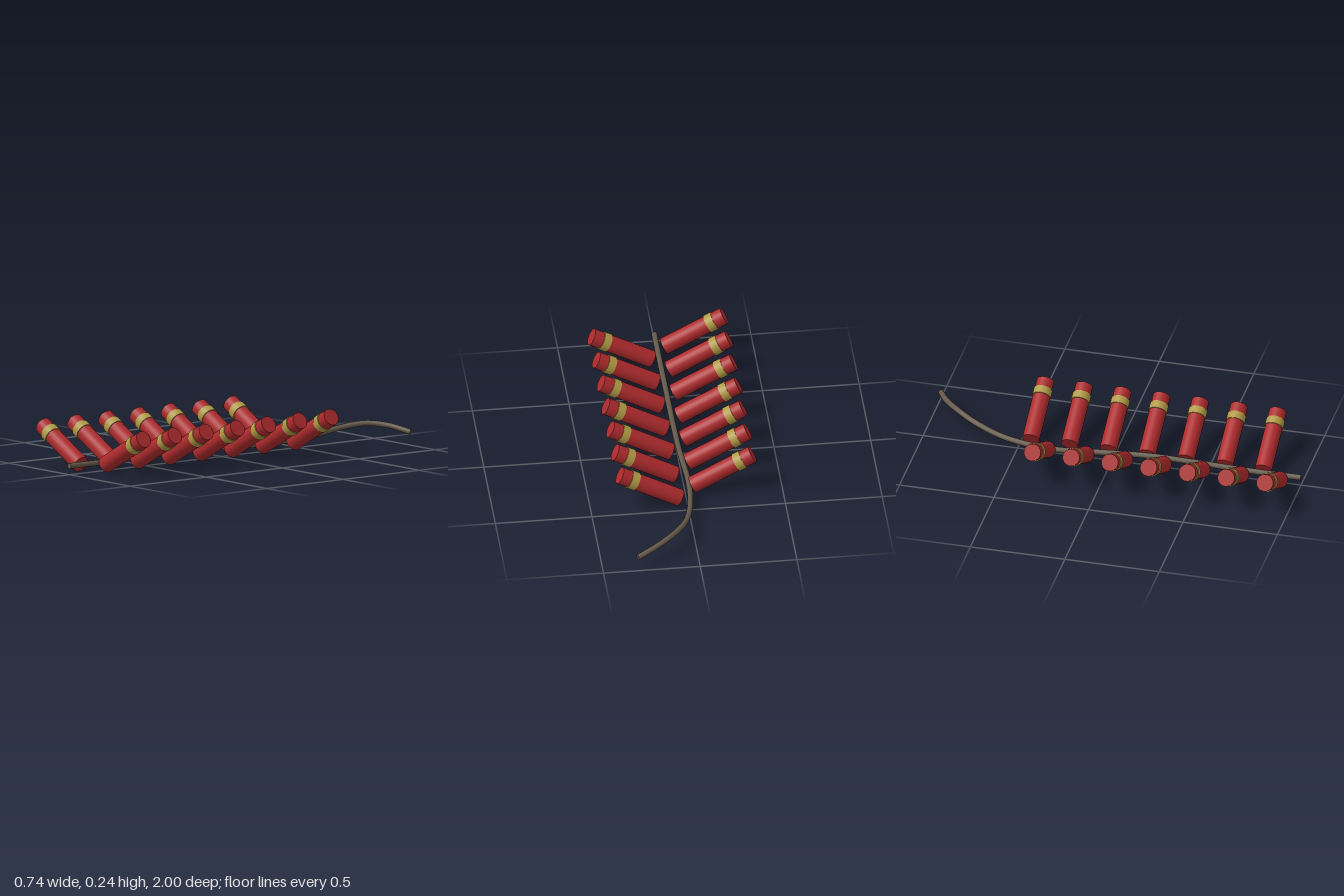
import * as THREE from 'three';

export function createModel() {
  const group = new THREE.Group();
  const mat = (name, color) => {
    const m = new THREE.MeshStandardMaterial({ color });
    m.name = name;
    return m;
  };
  const red = mat('red paper', 0xac2a2c);
  const gold = mat('gold band', 0xb09a45);
  const brown = mat('fuse brown', 0x65594a);
  const add = (parent, name, geometry, material) => {
    const mesh = new THREE.Mesh(geometry, material);
    mesh.name = name;
    parent.add(mesh);
    return mesh;
  };

  // Paper tubes, staggered in two rows and tilted up and away from the fuse
  const tubeGeo = new THREE.CylinderGeometry(0.0445, 0.0445, 0.352, 24);
  const bandGeo = new THREE.CylinderGeometry(0.0485, 0.0485, 0.042, 24);
  const tilt = THREE.MathUtils.degToRad(61.8);
  for (const side of [1, -1]) {
    for (let i = 0; i < 7; i++) {
      const cracker = new THREE.Group();
      cracker.name = side > 0 ? 'leftCracker' : 'rightCracker';
      add(cracker, 'paperTube', tubeGeo, red);
      add(cracker, 'band', bandGeo, gold).position.y = 0.1;
      cracker.rotation.z = -side * tilt;
      cracker.position.set(side * 0.194, 0.123, (side > 0 ? 0.79 : 0.895) - i * 0.205);
      group.add(cracker);
    }
  }

  // Fuse cord, running between the rows and curling off at the back
  const path = new THREE.CatmullRomCurve3([
    [0, 0.046, 1], [0, 0.046, 0.75], [0, 0.054, 0.45], [0, 0.057, 0.2],
    [-0.008, 0.045, -0.06], [-0.022, 0.036, -0.28], [-0.015, 0.04, -0.44],
    [0.01, 0.057, -0.6], [0.055, 0.09, -0.745], [0.12, 0.108, -0.85],
    [0.205, 0.1, -0.925], [0.32, 0.073, -0.985],
  ].map((p) => new THREE.Vector3(...p)));
  const radius = 0.015;
  add(group, 'fuse', new THREE.TubeGeometry(path, 80, radius, 12), brown);

  // Fuse ends
  for (const [t, sign] of [[0, -1], [1, 1]]) {
    const cap = add(group, 'fuseEnd', new THREE.CircleGeometry(radius, 12), brown);
    cap.position.copy(path.getPointAt(t));
    cap.quaternion.setFromUnitVectors(
      new THREE.Vector3(0, 0, 1), path.getTangentAt(t).multiplyScalar(sign));
  }
  return group;
}
